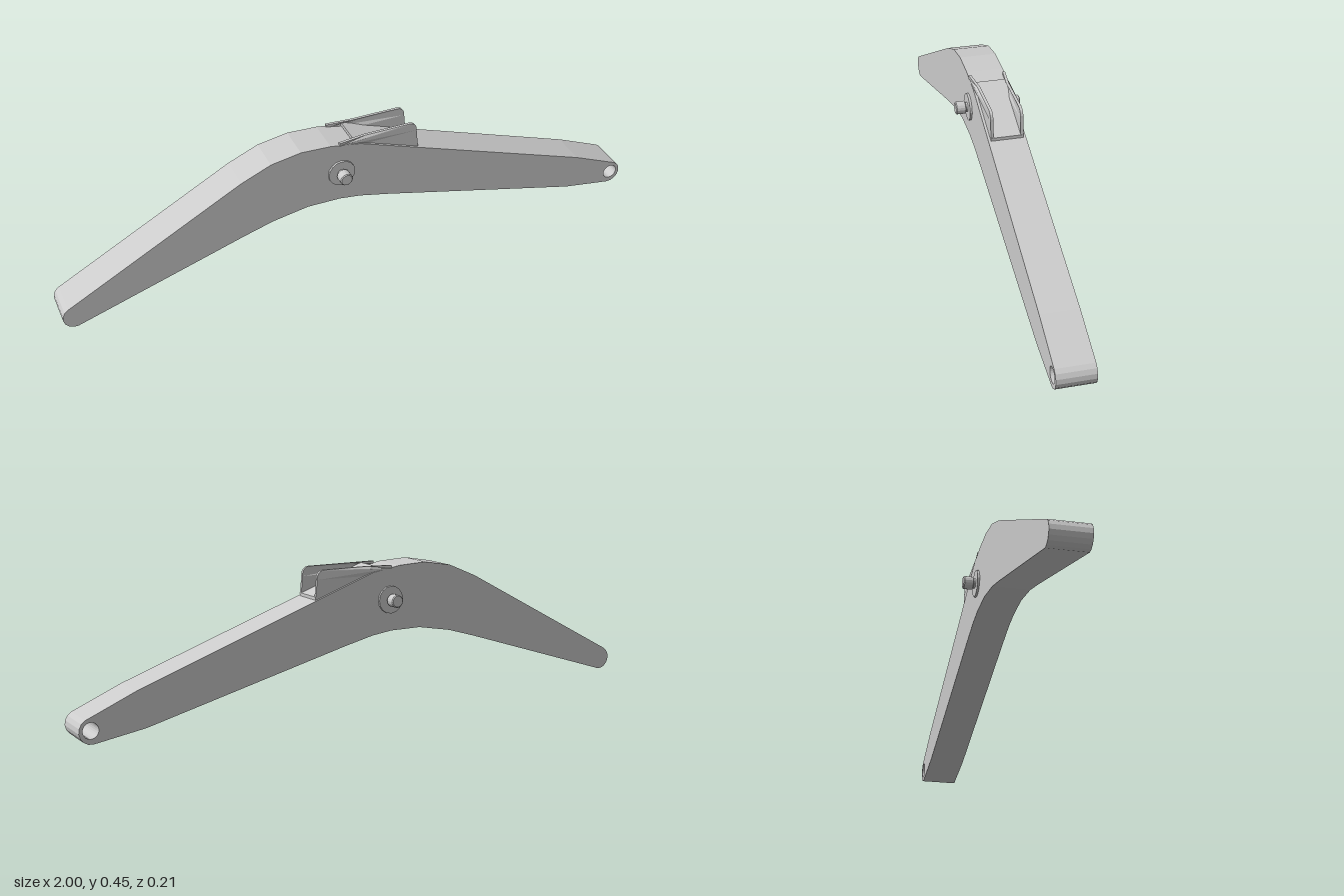
import * as THREE from 'three';

export function createModel() {
  const group = new THREE.Group();
  const mat = new THREE.MeshStandardMaterial({ color: 0xcccccc, side: THREE.DoubleSide });

  const add = (name, geo, parent = group) => {
    const mesh = new THREE.Mesh(geo, mat);
    mesh.name = name;
    parent.add(mesh);
    return mesh;
  };
  const toShape = (pts) => new THREE.Shape(pts.map(([x, y]) => new THREE.Vector2(x, y)));
  // Extrudes a side profile between two z positions
  const slab = (shape, z0, z1) =>
    new THREE.ExtrudeGeometry(shape, { depth: z1 - z0, bevelEnabled: false, curveSegments: 12 }).translate(0, 0, z0);
  // Points on an arc, angles in degrees
  const arc = (cx, cy, r, from, to, n) =>
    Array.from({ length: n + 1 }, (_, i) => {
      const a = THREE.MathUtils.degToRad(from + ((to - from) * i) / n);
      return [cx + r * Math.cos(a), cy + r * Math.sin(a)];
    });

  // Bent boom with rounded ends and a pin bore at the +x end
  const boom = toShape([
    ...arc(-0.961, 0.039, 0.039, 278, 120, 7),
    [-0.4, 0.387], [-0.3, 0.43], [-0.2, 0.448], [-0.1, 0.444], [0, 0.428],
    [0.82, 0.142],
    ...arc(0.96, 0.04, 0.04, 62, -95, 7),
    [0.79, 0.026], [0.1, 0.2], [0, 0.223], [-0.07, 0.232], [-0.18, 0.232], [-0.3, 0.21], [-0.4, 0.18],
  ]);
  boom.holes.push(new THREE.Path().absarc(0.963, 0.042, 0.025, 0, Math.PI * 2, true));
  add('boom', slab(boom, -0.06, 0.06));

  // Channel bracket on the upper slope: a floor between two ears
  const bracket = new THREE.Group();
  bracket.name = 'bracket';
  group.add(bracket);
  add('bracketFloor', slab(toShape([[-0.02, 0.434], [0.207, 0.354], [0.207, 0.366], [-0.02, 0.446]]), -0.052, 0.052), bracket);

  const earProfile = toShape([
    [-0.07, 0.437], [0.02, 0.418], [0.207, 0.355],
    [0.201, 0.42], ...arc(0.176, 0.425, 0.025, 10, 90, 5),
    [0.02, 0.449], [-0.07, 0.447],
  ]);
  for (const side of [1, -1]) {
    const ear = side > 0 ? slab(earProfile, 0.043, 0.052) : slab(earProfile, -0.052, -0.043);
    // The thin inner end flares out to the boom sides
    const p = ear.attributes.position;
    for (let i = 0; i < p.count; i++) {
      if (p.getX(i) < 0) p.setZ(i, p.getZ(i) + side * 0.009);
    }
    ear.computeVertexNormals();
    add(side > 0 ? 'frontEar' : 'backEar', ear, bracket);
  }

  // Pivot bosses: washer, neck and chamfered pin head on each face
  const profile = [
    [0, 0.055], [0.045, 0.055], [0.045, 0.067], [0.016, 0.067], [0.016, 0.073],
    [0.021, 0.076], [0.021, 0.104], [0.018, 0.107], [0, 0.107],
  ].map(([r, h]) => new THREE.Vector2(r, h));
  for (const side of [1, -1]) {
    const geo = new THREE.LatheGeometry(profile, 16).toNonIndexed();
    geo.computeVertexNormals();
    const pin = add(side > 0 ? 'frontPivotPin' : 'backPivotPin', geo);
    pin.rotation.x = (side * Math.PI) / 2;
    pin.position.set(-0.065, 0.335, 0);
  }

  return group;
}
